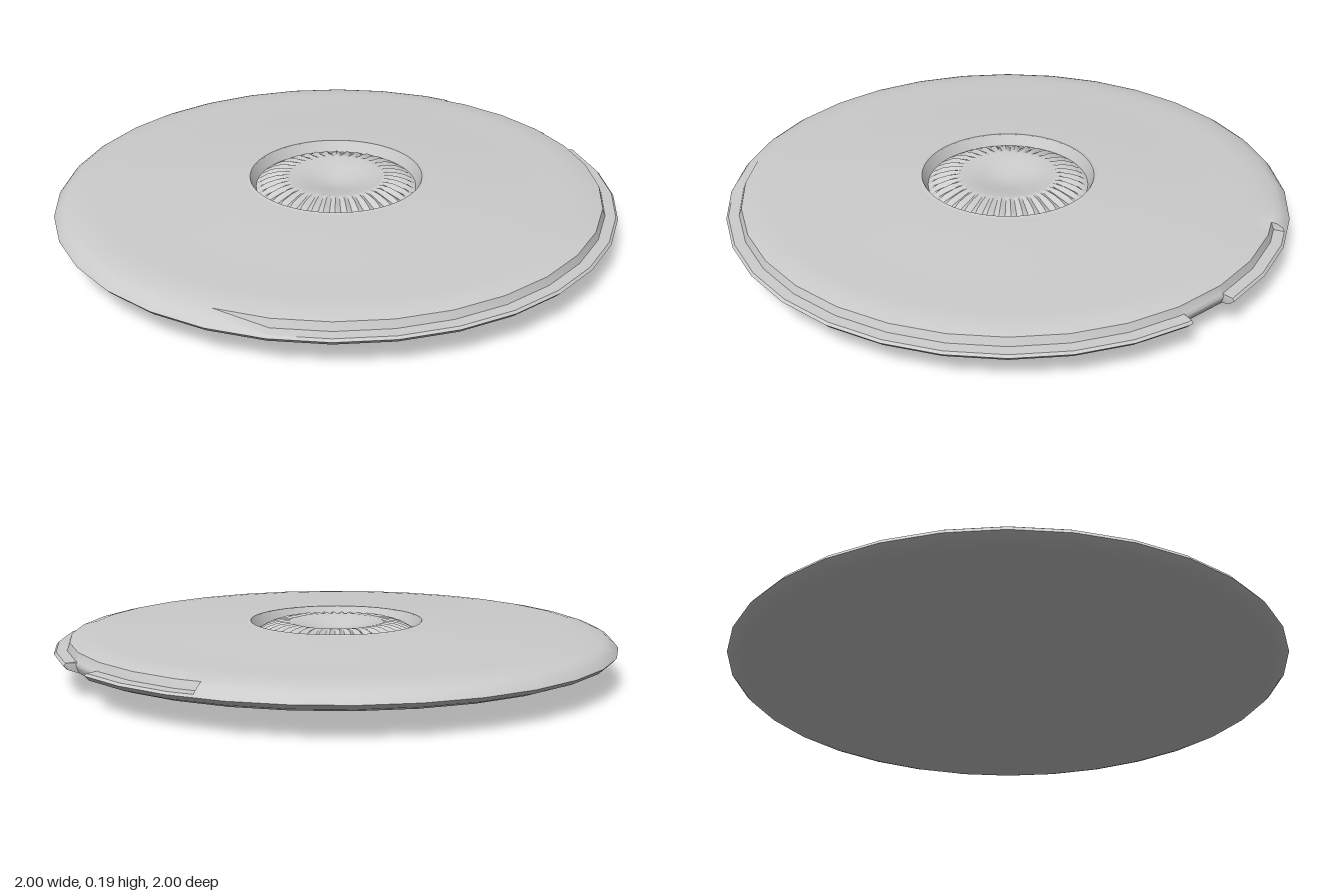
import * as THREE from 'three';
import { toCreasedNormals } from 'three/addons/utils/BufferGeometryUtils.js';

const DEG = Math.PI / 180;

// Surface swept around y; profile(angle, index) returns [radius, height] pairs,
// listed from the underside outwards and over the top towards the middle.
function sweep(angles, profile, crease) {
  const rows = angles.map((a, k) =>
    profile(a, k).map(([r, y]) => [r * Math.sin(a * DEG), y, r * Math.cos(a * DEG), r]));
  const pos = [];
  const tri = (...pts) => pts.forEach((p) => pos.push(p[0], p[1], p[2]));
  for (let k = 0; k < rows.length - 1; k++) {
    const A = rows[k], B = rows[k + 1];
    for (let i = 0; i < A.length - 1; i++) {
      if (A[i][3] > 0) tri(A[i], B[i], A[i + 1]);
      if (A[i + 1][3] > 0) tri(B[i], B[i + 1], A[i + 1]);
    }
  }
  const g = new THREE.BufferGeometry();
  g.setAttribute('position', new THREE.Float32BufferAttribute(pos, 3));
  return toCreasedNormals(g, crease);
}

// Flat-sided 32-gon: pulls in points that lie between the corners
const STEP = 11.25;
function chord(a) {
  const off = a - (Math.floor(a / STEP) + 0.5) * STEP;
  return Math.cos(STEP / 2 * DEG) / Math.cos(off * DEG);
}

// Rim shapes: plain, stepped ledge, and the gap in the ledge
const plainRim = [[0.985, 0.097], [1, 0.113], [0.985, 0.132], [0.965, 0.145], [0.945, 0.152]];
const ledgeRim = [[0.985, 0.097], [1, 0.113], [0.992, 0.121], [0.955, 0.123], [0.945, 0.15]];
const gapRim = [[0.957, 0.098], [0.96, 0.113], [0.958, 0.12], [0.955, 0.123], [0.945, 0.15]];

function rimAt(a) {
  if (a > 135.9 && a < 146.4) return gapRim;
  if (a > 174.1) return plainRim;
  const t = Math.min(1, a / STEP); // ledge fades in from the front
  return plainRim.map(([r, y], i) => [
    r + (ledgeRim[i][0] - r) * t,
    y + (ledgeRim[i][1] - y) * t,
  ]);
}

function bodyProfile(a) {
  const under = [[0, 0], [0.2, 0.002], [0.4, 0.011], [0.6, 0.029], [0.78, 0.053], [0.88, 0.072], [0.95, 0.084]];
  const top = [[0.9, 0.161], [0.85, 0.165], [0.75, 0.167], [0.65, 0.172], [0.5, 0.181], [0.36, 0.188], [0.308, 0.189]];
  const c = chord(a);
  return [...under, ...rimAt(a), ...top].map(([r, y]) => [r * c, y]);
}

// Recessed ring with radial flutes around a shallow dished middle
function hubProfile(a, k) {
  const f = k % 2 ? 0.006 : -0.006;
  return [
    [0.325, 0.188], [0.308, 0.191], [0.298, 0.172], [0.287, 0.152],
    [0.275, 0.156 + f * 0.5], [0.25, 0.168 + f], [0.215, 0.179 + f], [0.185, 0.185 + f * 0.5],
    [0.165, 0.186], [0.11, 0.173], [0.05, 0.16], [0, 0.152],
  ];
}

export function createModel() {
  const group = new THREE.Group();
  const material = new THREE.MeshStandardMaterial({ color: 0xcccccc });
  const add = (name, geometry) => {
    const mesh = new THREE.Mesh(geometry, material);
    mesh.name = name;
    group.add(mesh);
  };

  // Disc body, with extra angles where the ledge starts and stops
  const angles = Array.from({ length: 33 }, (_, i) => i * STEP)
    .concat([135.8, 136, 146.3, 146.5, 174, 174.2])
    .sort((p, q) => p - q);
  add('discBody', sweep(angles, bodyProfile, 0.6));

  // Fluted hub
  const hubAngles = Array.from({ length: 81 }, (_, i) => i * 4.5);
  add('flutedHub', sweep(hubAngles, hubProfile, 0.5));

  return group;
}
